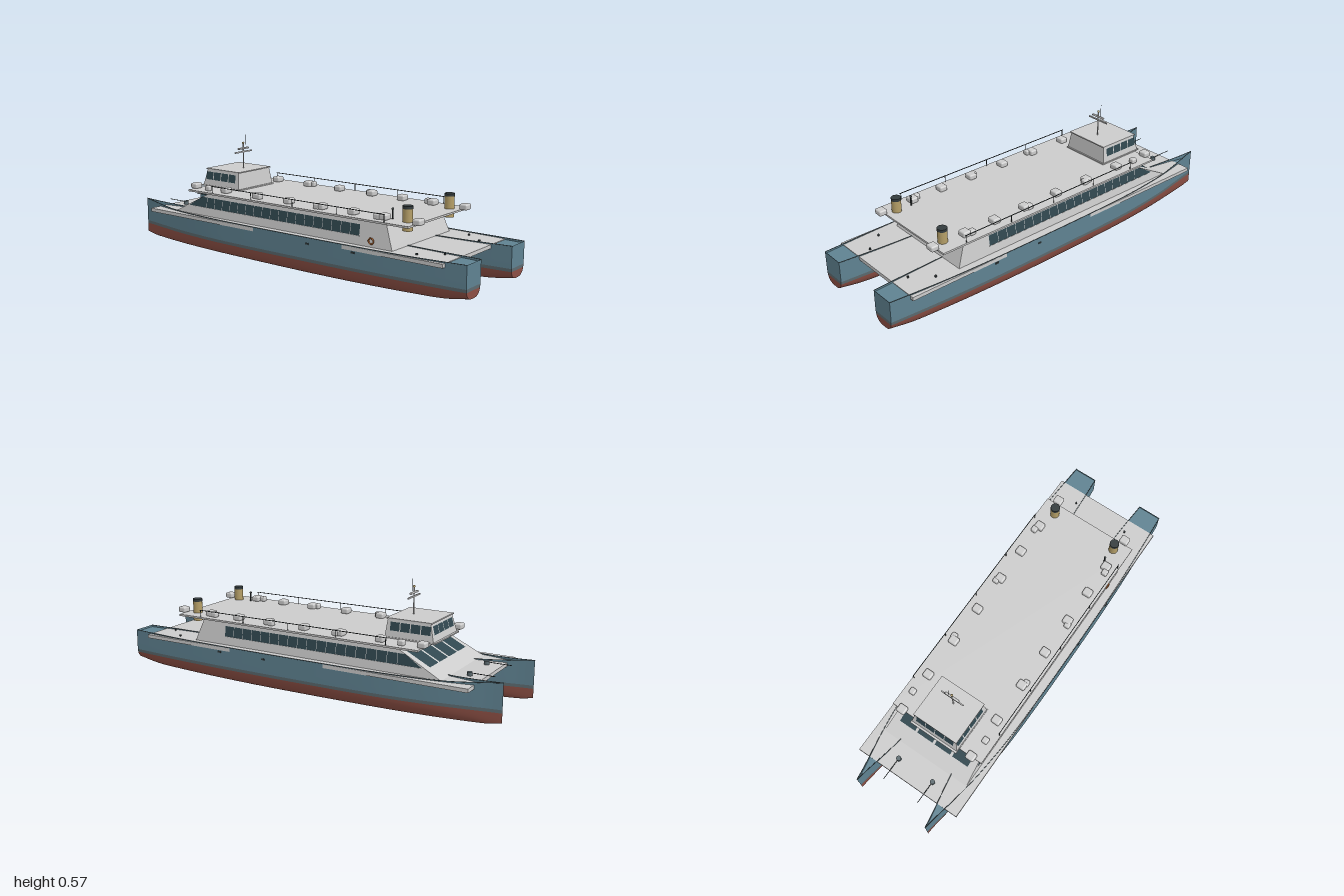
import * as THREE from 'three';
import { RoundedBoxGeometry } from 'three/addons/geometries/RoundedBoxGeometry.js';

const mat = (color) => new THREE.MeshStandardMaterial({ color, side: THREE.DoubleSide });
const grey = mat(0xcccccc), blue = mat(0x5f8291), red = mat(0x8c4f44), stripe = mat(0x5c6b70);
const glass = mat(0x30474f), gold = mat(0xb59f68), dark = mat(0x333b3d), orange = mat(0xd87a35);

function add(parent, name, geo, material, x = 0, y = 0, z = 0) {
  const m = new THREE.Mesh(geo, material);
  m.name = name;
  m.position.set(x, y, z);
  parent.add(m);
  return m;
}
const box = (w, h, d) => new THREE.BoxGeometry(w, h, d);
const cyl = (r, h, n = 20) => new THREE.CylinderGeometry(r, r, h, n);

// surface through rows of [x, y, z] points
function grid(rows) {
  const n = rows[0].length, idx = [];
  for (let i = 0; i < rows.length - 1; i++)
    for (let j = 0; j < n - 1; j++) {
      const a = i * n + j, b = a + n;
      idx.push(a, b, a + 1, b, b + 1, a + 1);
    }
  const g = new THREE.BufferGeometry();
  g.setAttribute('position', new THREE.Float32BufferAttribute(rows.flat(2), 3));
  g.setIndex(idx);
  g.computeVertexNormals();
  return g;
}

// block with sloping walls: half widths and z limits at bottom and top
function taper(y0, y1, x0, x1, zb, zt) {
  const g = box(2, 1, 2).toNonIndexed(), p = g.attributes.position;
  for (let i = 0; i < p.count; i++) {
    const top = p.getY(i) > 0, z = top ? zt : zb;
    p.setXYZ(i, p.getX(i) * (top ? x1 : x0), top ? y1 : y0, p.getZ(i) > 0 ? z[1] : z[0]);
  }
  g.computeVertexNormals();
  return g;
}

// hull stations: half width, keel height, z
const line = new THREE.CatmullRomCurve3([
  [.001, .025, -1], [.01, .014, -.94], [.025, .009, -.86], [.05, .005, -.72], [.067, .003, -.58],
  [.08, .002, -.42], [.086, .001, -.22], [.088, 0, 0], [.088, 0, .25], [.085, .003, .5],
  [.077, .008, .72], [.068, .015, .88], [.06, .034, 1],
].map((p) => new THREE.Vector3(...p)));
const stations = line.getPoints(72);
const sheer = (z) => .186 + .021 * Math.max(0, (-z - .7) / .3) ** 1.4 + .004 * Math.max(0, (z - .7) / .3);

// half breadth of a station at height y, with a rounded bilge
function breadth(s, y) {
  const t = Math.min(1, Math.max(0, (y - s.y) / (.1 - s.y)));
  return s.x * (1 - (1 - t) ** 2.8) ** (1 / 2.8);
}

function hull(parent, cx) {
  const g = new THREE.Group();
  g.name = 'hull';
  g.position.x = cx;
  parent.add(g);
  const bands = [
    ['topside', blue, 6, (s) => .085, (s) => sheer(s.z)],
    ['waterlineStripe', stripe, 2, () => .07, () => .085],
    ['bottom', red, 14, (s) => s.y, () => .07],
  ];
  for (const [name, m, n, lo, hi] of bands) {
    const heights = (s) => Array.from({ length: n + 1 }, (_, i) =>
      lo(s) + (hi(s) - lo(s)) * (name === 'bottom' ? (i / n) ** 2.4 : i / n));
    for (const k of [-1, 1])
      add(g, name, grid(stations.map((s) => heights(s).map((y) => [k * breadth(s, y), y, s.z]))), m);
    const end = stations.at(-1);
    add(g, 'transom', grid(heights(end).map((y) => [-1, 1].map((k) => [k * breadth(end, y), y, end.z]))), m);
  }
  // deck inside the low bulwark
  add(g, 'hullDeck', grid(stations.map((s) => [-1, 1].map((k) => [k * s.x, .18, s.z]))), blue);
  // bulwark capping
  for (const k of [-1, 1]) {
    const path = new THREE.CatmullRomCurve3(stations.filter((_, i) => i % 4 === 0)
      .map((s) => new THREE.Vector3(k * s.x, sheer(s.z), s.z)));
    add(g, 'bulwarkCap', new THREE.TubeGeometry(path, 60, .0015, 5), stripe);
  }
}

// four-cornered pane between two heights; at(u, y) gives a point on the wall
function pane(parent, at, u0, u1, y0, y1, top0 = u0, top1 = u1) {
  add(parent, 'window', grid([[at(u0, y0), at(u1, y0)], [at(top0, y1), at(top1, y1)]]), glass);
}

export function createModel() {
  const ship = new THREE.Group();
  ship.name = 'catamaranFerry';
  for (const k of [-1, 1]) hull(ship, k * .2);

  // cross deck between and over the hulls
  add(ship, 'mainDeck', box(.574, .018, 1.775), grey, 0, .174, .0125);

  // passenger cabin and roof
  add(ship, 'cabin', taper(.183, .3, .243, .225, [-.73, .62], [-.5, .575]), grey);
  add(ship, 'cabinRoof', box(.515, .009, 1.33), grey, 0, .3045, .045);
  const slope = (y) => (y - .183) / .117;
  for (const k of [-1, 1]) {
    const wall = (z, y) => [k * (.2455 - .018 * slope(y)), y, z];
    for (let i = 0; i < 18; i++) pane(ship, wall, .44 - i * .053, .44 - i * .053 - .0505, .225, .276);
    pane(ship, wall, -.514, -.635, .225, .276, -.514, -.55);
    // window surround
    add(ship, 'windowSill', box(.004, .003, 1.06), grey, k * .238, .2235, -.09);
  }
  const bowWall = (x, y) => [x, y + .001, -.733 + .23 * slope(y)];
  for (let i = 0; i < 4; i++) pane(ship, bowWall, -.2 + i * .103, -.11 + i * .103, .222, .285);

  // wheelhouse
  const house = new THREE.Group();
  house.name = 'wheelhouse';
  ship.add(house);
  add(house, 'wheelhouseWalls', taper(.309, .398, .131, .117, [-.64, -.392], [-.617, -.402]), grey);
  add(house, 'wheelhouseBase', box(.266, .006, .262), grey, 0, .312, -.518);
  add(house, 'wheelhouseRoof', box(.245, .006, .228), grey, 0, .399, -.51);
  const rise = (y) => (y - .309) / .089;
  for (const k of [-1, 1])
    for (let i = 0; i < 4; i++)
      pane(house, (z, y) => [k * (.133 - .014 * rise(y)), y, z], -.418 - i * .052, -.465 - i * .052, .345, .385);
  for (let i = 0; i < 4; i++)
    pane(house, (x, y) => [x, y, -.642 + .023 * rise(y)], -.106 + i * .054, -.056 + i * .054, .345, .385);

  // mast with yard, radar and aerial
  add(ship, 'mast', cyl(.003, .13, 10), grey, 0, .465, -.475);
  add(ship, 'mastBall', new THREE.SphereGeometry(.006, 12, 8), gold, 0, .533, -.475);
  add(ship, 'mastYard', box(.124, .007, .006), grey, 0, .487, -.475);
  add(ship, 'radar', new RoundedBoxGeometry(.08, .009, .012, 2, .004), grey, 0, .505, -.475);
  add(ship, 'aerial', cyl(.001, .07, 6), dark, .017, .539, -.475);

  for (const k of [-1, 1]) {
    // funnels
    add(ship, 'funnel', cyl(.023, .1, 28), gold, k * .177, .319, .655);
    add(ship, 'funnelCap', cyl(.0235, .013, 28), dark, k * .177, .3745, .655);

    // life raft canisters along the roof
    for (const z of [-.62, -.41, -.2, 0, .2, .38, .55, .725])
      add(ship, 'raftCanister', new RoundedBoxGeometry(.046, .028, .042, 2, .008), grey, k * .2, .322, z);
    // roof vents
    for (const z of [-.52, -.18, .18, .52])
      add(ship, 'roofVent', new RoundedBoxGeometry(.03, .026, .032, 2, .007), grey, k * .212, .321, z);

    // roof rail
    add(ship, 'roofRail', box(.003, .003, 1.05), dark, k * .25, .343, .06);
    for (let i = 0; i < 5; i++) add(ship, 'railPost', cyl(.0018, .035, 6), dark, k * .25, .326, .58 - i * .26);

    // bow capstans with jackstaffs
    add(ship, 'capstan', cyl(.012, .018, 16), stripe, k * .1, .192, -.805);
    const rod = add(ship, 'bowRod', cyl(.0018, .12, 6), dark, k * .1, .196, -.865);
    rod.rotation.x = Math.PI / 2;

    // aft deck bollards
    for (const [x, z] of [[.15, .83], [.225, .735]]) add(ship, 'bollard', cyl(.005, .008, 10), dark, k * x, .187, z);
    // hull side openings
    for (const z of [.44, .18]) add(ship, 'hullPort', box(.008, .008, .018), dark, k * .286, .157, z);
  }

  // lookout post on the roof
  add(ship, 'roofHorn', cyl(.004, .045, 8), dark, -.175, .331, .575);
  add(ship, 'hornHead', new THREE.SphereGeometry(.006, 10, 8), dark, -.175, .356, .575);

  // lifebuoy on the cabin side
  const buoy = add(ship, 'lifebuoy', new THREE.TorusGeometry(.013, .0035, 8, 24), orange, -.247, .212, .51);
  buoy.rotation.y = Math.PI / 2;
  return ship;
}
